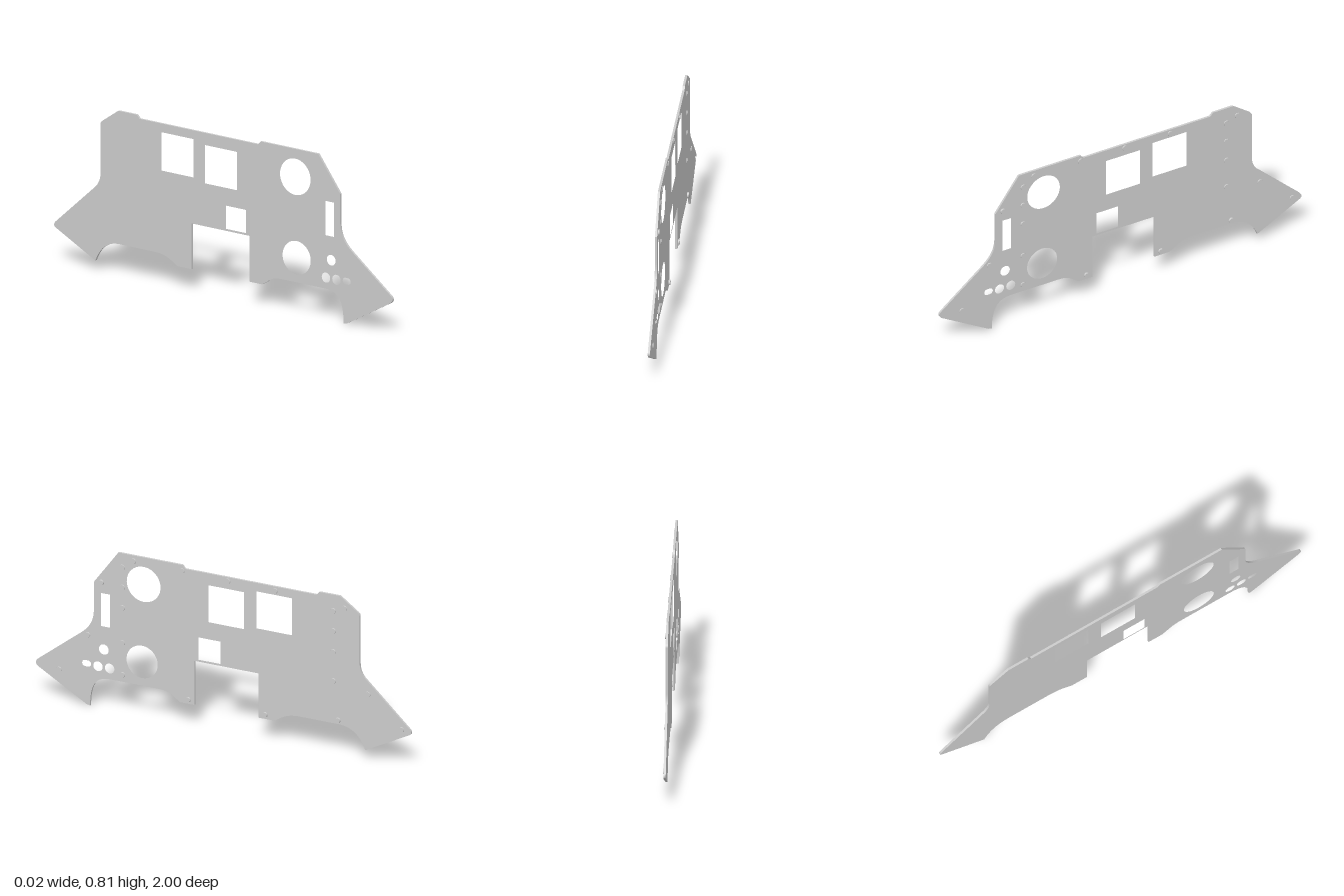
import * as THREE from 'three';

const BACK = -0.01, FACE = 0.001; // plate surfaces along x

// Outline drawn in (u, v) = (-z, y)
function plateShape() {
  const s = new THREE.Shape();
  s.moveTo(-0.56, 0.815);
  s.lineTo(-0.22, 0.815);
  s.lineTo(-0.205, 0.798);
  s.lineTo(0.495, 0.798);
  s.lineTo(0.51, 0.815);
  s.lineTo(0.62, 0.815);
  s.lineTo(0.715, 0.748);
  s.quadraticCurveTo(0.725, 0.74, 0.725, 0.73);
  s.lineTo(0.725, 0.49);
  s.quadraticCurveTo(0.725, 0.445, 0.755, 0.415);
  s.lineTo(0.99, 0.2);
  s.quadraticCurveTo(1.01, 0.18, 0.985, 0.167);
  s.lineTo(0.755, 0.048);
  s.bezierCurveTo(0.73, 0.11, 0.69, 0.155, 0.61, 0.155);
  s.lineTo(0.41, 0.155);
  s.bezierCurveTo(0.33, 0.155, 0.31, 0.13, 0.27, 0.108);
  s.lineTo(0.187, 0.108);
  s.lineTo(0.187, 0.335);
  s.lineTo(-0.155, 0.335);
  s.lineTo(-0.155, 0.108);
  s.lineTo(-0.23, 0.108);
  s.bezierCurveTo(-0.27, 0.13, -0.28, 0.155, -0.34, 0.155);
  s.lineTo(-0.6, 0.155);
  s.bezierCurveTo(-0.68, 0.155, -0.71, 0.11, -0.71, 0.0);
  s.lineTo(-0.73, 0.005);
  s.lineTo(-0.985, 0.15);
  s.quadraticCurveTo(-1.01, 0.168, -0.99, 0.187);
  s.lineTo(-0.78, 0.35);
  s.bezierCurveTo(-0.72, 0.395, -0.69, 0.43, -0.69, 0.5);
  s.lineTo(-0.69, 0.64);
  s.closePath();

  // Gauge and small button holes: u, v, radius
  for (const [u, v, r] of [
    [-0.425, 0.677, 0.09], [-0.433, 0.277, 0.083],
    [-0.637, 0.302, 0.026], [-0.668, 0.21, 0.025], [-0.606, 0.21, 0.025],
  ]) {
    const h = new THREE.Path();
    h.absarc(u, v, r, 0, Math.PI * 2, true);
    s.holes.push(h);
  }

  // Rectangular windows: u0, v0, u1, v1
  for (const [a, b, c, d] of [
    [-0.08, 0.548, 0.108, 0.738], [0.177, 0.565, 0.364, 0.755],
    [-0.133, 0.345, -0.015, 0.46], [-0.652, 0.42, -0.604, 0.59],
  ]) {
    s.holes.push(new THREE.Path([[a, b], [a, d], [c, d], [c, b]].map(([x, y]) => new THREE.Vector2(x, y))));
  }

  // Rounded slot
  const slot = new THREE.Path();
  slot.absarc(-0.736, 0.214, 0.016, Math.PI * 1.5, Math.PI / 2, true);
  slot.absarc(-0.721, 0.214, 0.016, Math.PI / 2, -Math.PI / 2, true);
  slot.closePath();
  s.holes.push(slot);
  return s;
}

export function createModel() {
  const model = new THREE.Group();
  const material = new THREE.MeshStandardMaterial({ color: 0xcccccc });

  const plateGeometry = new THREE.ExtrudeGeometry(plateShape(), {
    depth: FACE - BACK, bevelEnabled: false, curveSegments: 20,
  });
  plateGeometry.rotateY(Math.PI / 2);
  const plate = new THREE.Mesh(plateGeometry, material);
  plate.name = 'panelPlate';
  plate.position.x = BACK;
  model.add(plate);

  // Screw heads on the +x face: u, v, head height
  const low = 0.004, tall = 0.008;
  const screws = [
    [0.644, 0.756, low], [0.584, 0.733, low], [0.584, 0.629, low], [0.584, 0.522, low],
    [0.584, 0.372, low], [0.769, 0.338, low], [0.947, 0.19, low], [0.61, 0.175, tall],
    [0.221, 0.13, tall], [-0.188, 0.13, tall], [-0.538, 0.191, low], [-0.538, 0.355, low],
    [-0.538, 0.535, low], [-0.538, 0.64, low], [-0.538, 0.743, low], [-0.723, 0.362, low],
    [-0.875, 0.155, low], [-0.65, 0.645, tall], [-0.479, 0.786, low], [-0.221, 0.785, low],
    [0.023, 0.778, low], [0.274, 0.777, low],
  ];
  const headGeometry = new THREE.CylinderGeometry(0.013, 0.014, 1, 16);
  headGeometry.rotateZ(-Math.PI / 2);
  const heads = new THREE.Group();
  heads.name = 'screwHeads';
  for (const [u, v, h] of screws) {
    const head = new THREE.Mesh(headGeometry, material);
    head.name = 'screwHead';
    head.scale.x = h;
    head.position.set(FACE + h / 2, v, -u);
    heads.add(head);
  }
  model.add(heads);
  return model;
}
